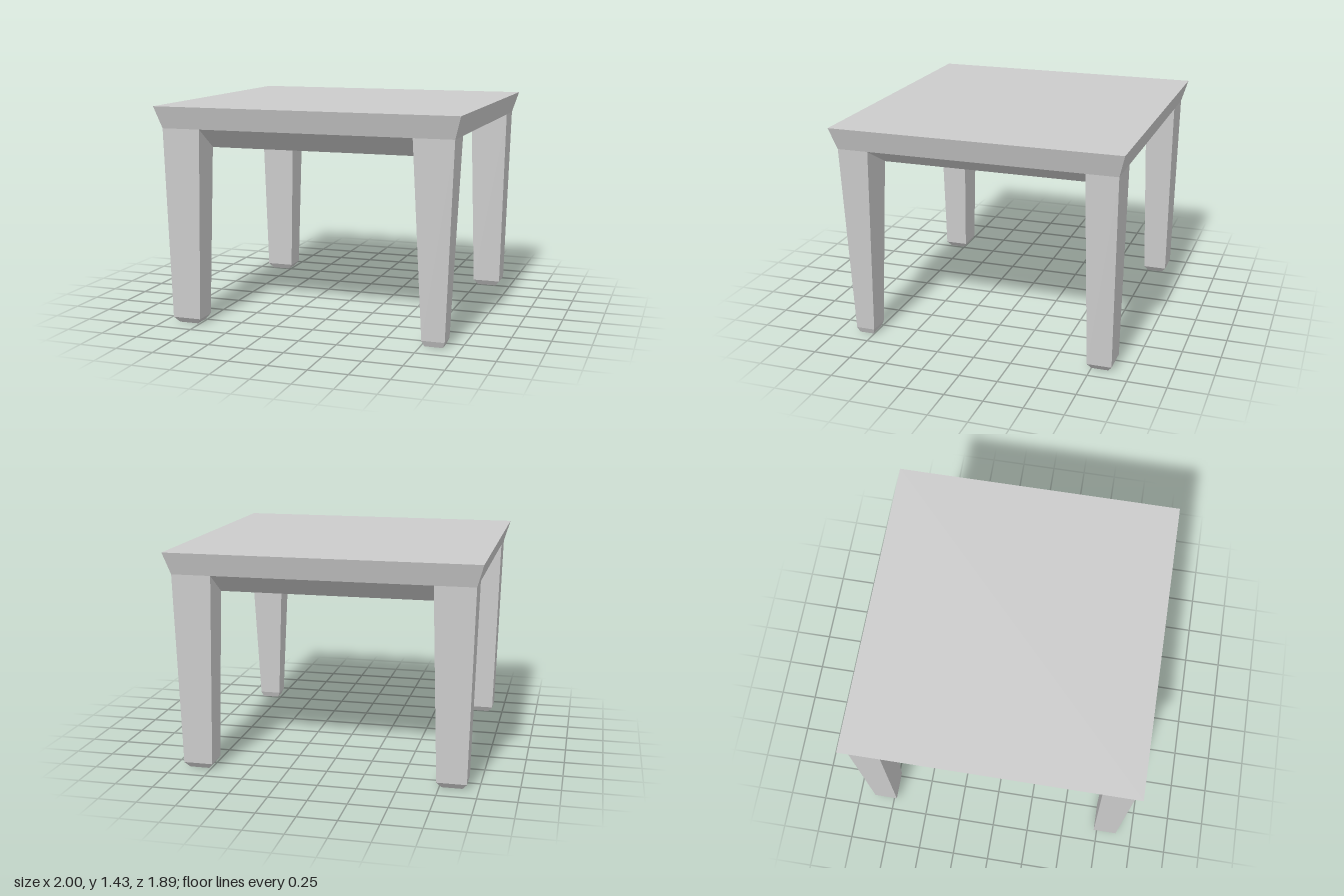
import * as THREE from 'three';

const material = new THREE.MeshStandardMaterial({ color: 0xcccccc, flatShading: true });

// Closed solid through rectangular sections [y, x0, x1, z0, z1], listed bottom to top
function loft(name, sections) {
  const positions = [];
  const quad = (a, b, c, d) => positions.push(...a, ...b, ...c, ...a, ...c, ...d);
  const rings = sections.map(([y, x0, x1, z0, z1]) =>
    [[x0, y, z1], [x1, y, z1], [x1, y, z0], [x0, y, z0]]);
  for (let i = 0; i < rings.length - 1; i++) {
    for (let j = 0; j < 4; j++) {
      const k = (j + 1) % 4;
      quad(rings[i][j], rings[i][k], rings[i + 1][k], rings[i + 1][j]);
    }
  }
  quad(...rings[0].slice().reverse());
  quad(...rings[rings.length - 1]);
  const geometry = new THREE.BufferGeometry();
  geometry.setAttribute('position', new THREE.Float32BufferAttribute(positions, 3));
  geometry.computeVertexNormals();
  const mesh = new THREE.Mesh(geometry, material);
  mesh.name = name;
  return mesh;
}

export function createModel() {
  const model = new THREE.Group();
  model.name = 'table';

  // Table top: bevelled underside below a flared rim
  model.add(loft('tableTop', [
    [1.155, -0.703, 0.703, -0.703, 0.703],
    [1.29, -0.958, 0.958, -0.906, 0.906],
    [1.433, -1, 1, -0.946, 0.946],
  ]));

  // Tapered legs with chamfered feet; the front leg on +x is slimmer at the foot
  const foot = [0, 0.765, 0.897, 0.751, 0.858];
  const wide = [0.038, 0.735, 0.927, 0.727, 0.886];
  const slim = [0.038, 0.757, 0.905, 0.742, 0.868];
  const slimFoot = [0, 0.772, 0.89, 0.756, 0.853];
  const top = [1.29, 0.7, 0.958, 0.702, 0.906];
  const mirror = ([y, x0, x1, z0, z1], sx, sz) => [
    y,
    ...(sx > 0 ? [x0, x1] : [-x1, -x0]),
    ...(sz > 0 ? [z0, z1] : [-z1, -z0]),
  ];
  for (const sx of [1, -1]) {
    for (const sz of [1, -1]) {
      const name = (sz > 0 ? 'front' : 'back') + (sx > 0 ? 'Left' : 'Right') + 'Leg';
      const isSlim = sx > 0 && sz > 0;
      const sections = isSlim ? [slimFoot, slim, top] : [foot, wide, top];
      model.add(loft(name, sections.map((s) => mirror(s, sx, sz))));
    }
  }
  return model;
}
